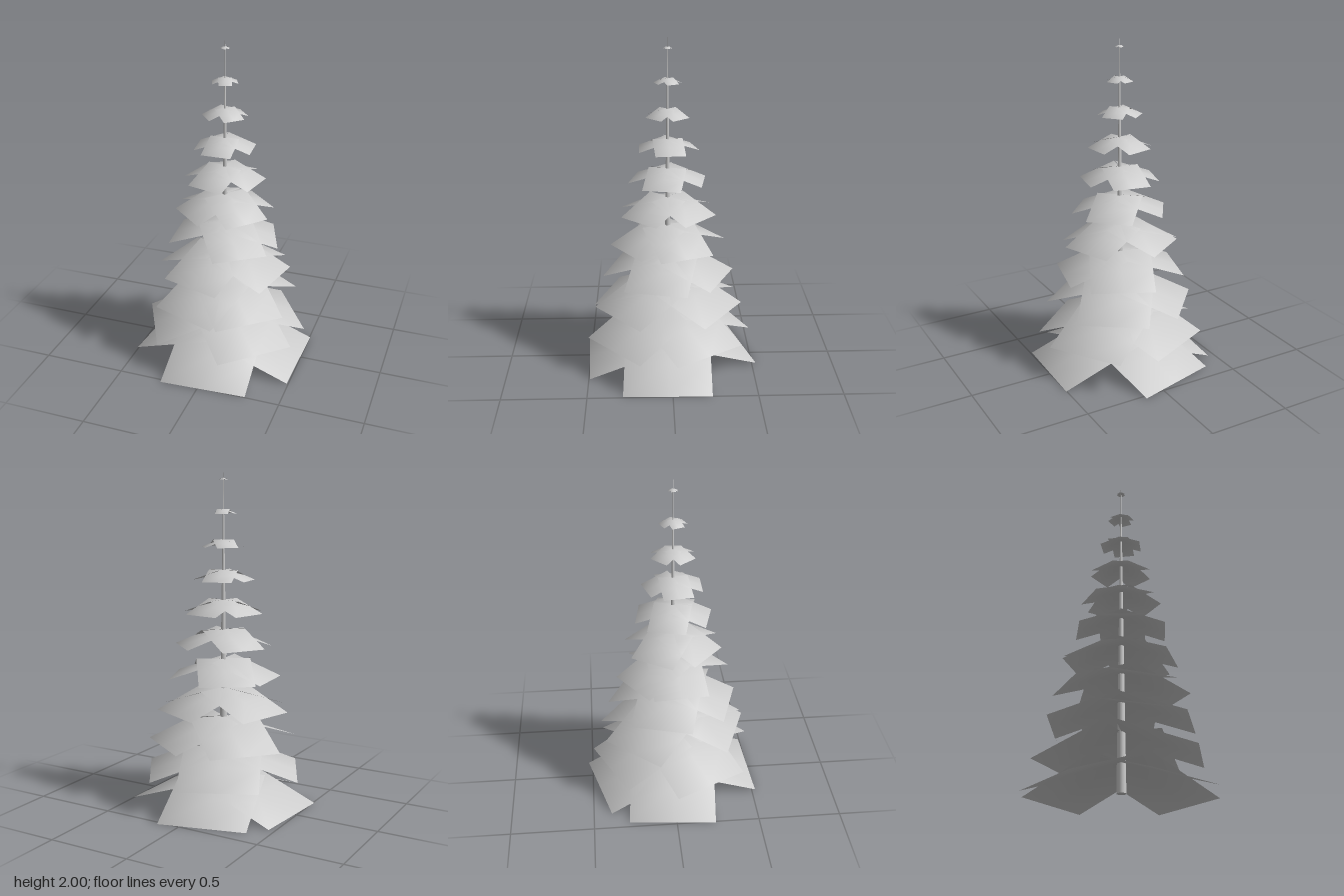
import * as THREE from 'three';

// Heading in degrees of the four boughs in each tier, lowest tier first (0 = front, 90 = +x)
const TIERS = [
  [3, 88.5, 195, 265], [42, 123, 205, 297], [40, 145, 228, 340], [77, 154.5, 254, 342.5],
  [35, 110.5, 214, 275], [48, 137, 237, 318.5], [79, 171, 255, 345], [0, 95, 196, 277],
  [45, 130, 222, 310], [20, 115, 200, 290], [0, 90, 180, 270],
];
const AXIS_X = 0.005, AXIS_Z = 0.017;

// Square card hinged at the trunk, sloping down and outward
function boughGeometry(size) {
  const g = new THREE.PlaneGeometry(size, size, 2, 2);
  g.rotateX(-Math.PI / 2);
  g.translate(0, 0, size / 2);
  g.rotateX(THREE.MathUtils.degToRad(19.8));
  // Normals lean away from the trunk for soft, domed shading
  const p = g.attributes.position, n = new THREE.Vector3();
  for (let i = 0; i < p.count; i++) {
    n.set(p.getX(i) / size, 1, p.getZ(i) / size).normalize();
    g.attributes.normal.setXYZ(i, n.x, n.y, n.z);
  }
  return g;
}

export function createModel() {
  const grey = new THREE.MeshStandardMaterial({ color: 0xcccccc, side: THREE.DoubleSide });
  grey.name = 'light grey';

  const tree = new THREE.Group();
  tree.name = 'tree';

  // Tapered trunk
  const trunk = new THREE.Mesh(new THREE.CylinderGeometry(0.001, 0.028, 2, 12), grey);
  trunk.name = 'trunk';
  trunk.position.set(AXIS_X, 1, AXIS_Z);
  tree.add(trunk);

  // Tiers of boughs, shrinking towards the tip
  TIERS.forEach((headings, i) => {
    const tier = new THREE.Group();
    tier.name = `tier${i + 1}`;
    tier.position.set(AXIS_X, 0.177 * (i + 1), AXIS_Z);
    const geometry = boughGeometry(0.523 - 0.0497 * i);
    headings.forEach((deg) => {
      const bough = new THREE.Mesh(geometry, grey);
      bough.name = 'bough';
      bough.rotation.y = THREE.MathUtils.degToRad(deg);
      tier.add(bough);
    });
    tree.add(tier);
  });

  return tree;
}
